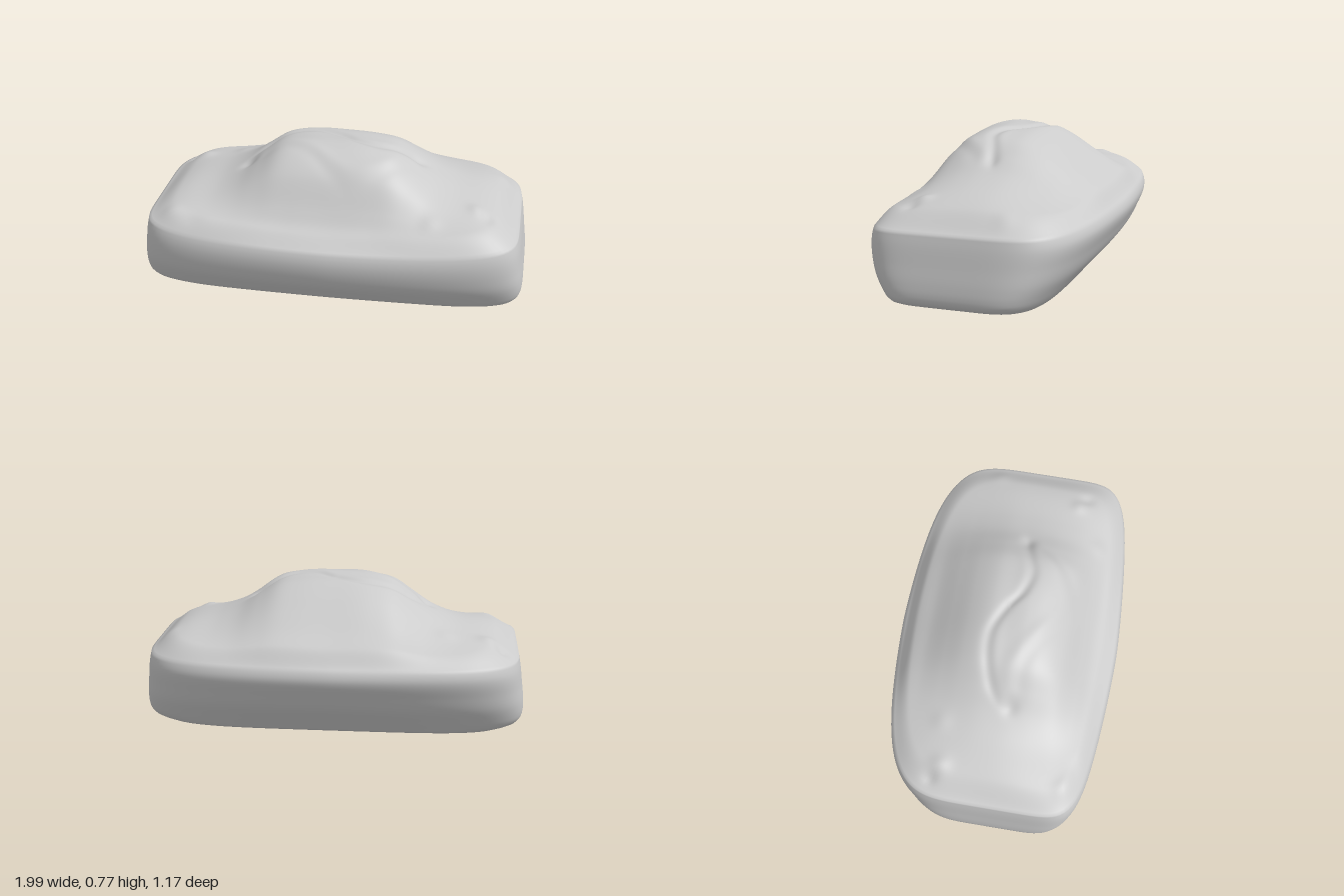
import * as THREE from 'three';

const { clamp, lerp, smoothstep } = THREE.MathUtils;

// Smooth curve through [position, value] pairs, held flat past both ends
function profile(points) {
  const xs = points.map(p => p[0]);
  const curve = new THREE.CubicInterpolant(xs, points.map(p => p[1]), 1);
  return x => curve.evaluate(clamp(x, xs[0], xs[xs.length - 1] - 1e-6))[0];
}
const gauss = (d, w) => Math.exp(-(d * d) / (w * w));

// Crest height along the length, and how the dome falls off front to back
const crest = profile([[-0.97, 0.42], [-0.9, 0.46], [-0.8, 0.5], [-0.6, 0.545], [-0.5, 0.59], [-0.4, 0.66], [-0.3, 0.73],
  [-0.2, 0.758], [0, 0.766], [0.2, 0.758], [0.3, 0.735], [0.4, 0.675], [0.5, 0.61], [0.6, 0.57], [0.8, 0.52], [0.9, 0.472], [0.97, 0.425]]);
const dome = profile([[-0.57, 0.05], [-0.5, 0.23], [-0.4, 0.41], [-0.3, 0.63], [-0.2, 0.83], [-0.1, 0.96], [0, 0.99],
  [0.1, 1], [0.2, 0.92], [0.3, 0.7], [0.4, 0.28], [0.45, 0.1], [0.5, 0], [0.57, -0.09]]);

// The two edges of the split in the crust (z along x)
const splitBack = profile([[-0.5, 0.04], [-0.4, -0.03], [-0.15, -0.08], [0, -0.02], [0.1, 0.05], [0.22, 0.08], [0.35, 0.04], [0.5, 0]]);
const splitFront = profile([[-0.5, 0.1], [-0.3, 0.08], [-0.15, 0.15], [0, 0.26], [0.1, 0.3], [0.25, 0.24], [0.4, 0.1], [0.5, 0.04]]);

// Small dents and blisters: x, z, radius, height
const marks = [[-0.87, -0.27, 0.035, -0.022], [-0.8, -0.23, 0.05, 0.015], [-0.58, -0.26, 0.05, 0.008], [0.74, 0.26, 0.04, 0.013],
  [0.8, 0.3, 0.035, -0.013], [0.52, 0.4, 0.04, 0.008], [-0.82, 0.42, 0.05, 0.014], [-0.7, 0.46, 0.04, -0.008],
  [0.42, 0.03, 0.04, -0.014], [-0.47, 0.08, 0.04, -0.018], [0.88, -0.2, 0.05, 0.008]];

function topHeight(x, z) {
  const flat = 1 - Math.pow(Math.min(1, Math.abs(z) / 0.56), 2);
  const middle = 1 - smoothstep(Math.abs(x), 0.2, 0.95);
  let y = 0.42 + (crest(x) - 0.42) * lerp(flat, dome(z), middle);
  const fade = 1 - smoothstep(Math.abs(x), 0.36, 0.52);
  y += fade * (0.005 * gauss(z - splitFront(x) + 0.03, 0.045) - 0.013 * gauss(z - splitBack(x), 0.03)
    - 0.004 * gauss(z - splitFront(x) - 0.03, 0.04));
  for (const [mx, mz, r, h] of marks) y += h * gauss(Math.hypot(x - mx, z - mz), r);
  return y + 0.003 * Math.sin(9 * x + 4 * z) * Math.sin(11 * z - 3 * x);
}

// Wall half sizes from the base edge (0) to the rim (1)
const wallLength = profile([[0, 0.9], [0.05, 0.96], [0.12, 0.988], [0.2, 0.996], [0.35, 0.996], [0.6, 0.985], [0.85, 0.973], [1, 0.962]]);
const wallFront = profile([[0, 0.415], [0.07, 0.45], [0.2, 0.492], [0.4, 0.545], [0.6, 0.573], [0.8, 0.584], [0.93, 0.579], [1, 0.57]]);
const wallBack = profile([[0, 0.36], [0.07, 0.383], [0.2, 0.428], [0.4, 0.495], [0.6, 0.54], [0.85, 0.583], [0.95, 0.578], [1, 0.568]]);

// Point of the rounded outline at angle t, wall level v and inward scale s
function outline(t, v, s) {
  const c = Math.cos(t), k = Math.sin(t);
  const n = k > 0 ? 8 : 4.6; // back corners are rounder
  const r = Math.pow(Math.abs(c) ** n + Math.abs(k) ** n, -1 / n);
  const middle = k > 0 ? wallFront(v) : wallBack(v);
  const end = 0.35 + (middle - 0.35) * 0.65; // the long sides bow outwards
  const depth = lerp(middle, end, Math.abs(c * r) ** 1.6);
  return [c * r * wallLength(v) * s, k * r * depth * s];
}

function loafGeometry() {
  const sides = 220, baseRings = 6, wallRings = 30, topRings = 68;
  const rings = [];
  for (let i = 1; i <= baseRings; i++) rings.push({ v: 0, s: i / baseRings });
  for (let i = 1; i <= wallRings; i++) rings.push({ v: i / wallRings, s: 1 });
  for (let i = 1; i < topRings; i++) rings.push({ v: 1, s: 1 - i / topRings });

  const pos = [], index = [];
  for (const { v, s } of rings) {
    for (let i = 0; i < sides; i++) {
      const [x, z] = outline(i / sides * Math.PI * 2, v, s);
      // The rim sits higher at the back and at both ends
      const rim = lerp(0.388 - 0.045 * z / s, 0.405, Math.abs(x / s) ** 4);
      let y = lerp(0.022, rim, v);
      if (v === 0) y = 0.014 + 0.008 * s * s;
      if (v === 1) {
        const edge = Math.max(0, (s - 0.86) / 0.14); // shoulder rolls over into the crust
        y = lerp(topHeight(x, z), rim, edge * edge);
      }
      pos.push(x, y, z);
    }
  }
  for (let j = 0; j < rings.length - 1; j++) {
    for (let i = 0; i < sides; i++) {
      const k = (i + 1) % sides, a = j * sides + i, b = j * sides + k;
      index.push(a, a + sides, b, b, a + sides, b + sides);
    }
  }
  // Close the base and the crown with fans
  const base = pos.length / 3, crown = base + 1, last = (rings.length - 1) * sides;
  pos.push(0, 0, 0, 0, topHeight(0, 0), 0);
  for (let i = 0; i < sides; i++) {
    const k = (i + 1) % sides;
    index.push(base, i, k, crown, last + k, last + i);
  }
  const geometry = new THREE.BufferGeometry();
  geometry.setAttribute('position', new THREE.Float32BufferAttribute(pos, 3));
  geometry.setIndex(index);
  geometry.computeVertexNormals();
  return geometry;
}

export function createModel() {
  const group = new THREE.Group();
  group.name = 'breadLoaf';
  const loaf = new THREE.Mesh(loafGeometry(), new THREE.MeshStandardMaterial({ color: 0xcccccc }));
  loaf.name = 'loaf';
  group.add(loaf);
  return group;
}
